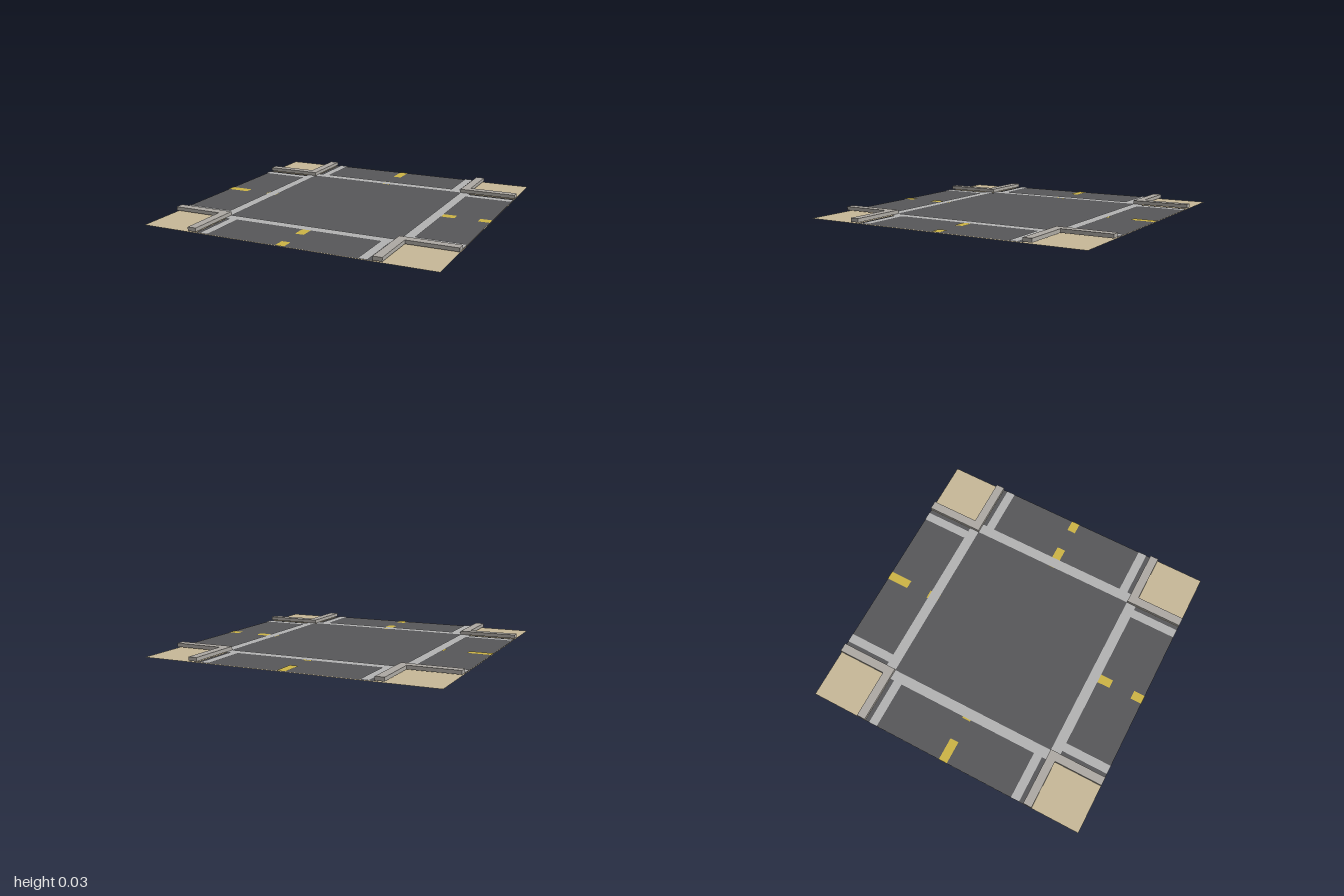
import * as THREE from 'three';

const mat = (color) => new THREE.MeshStandardMaterial({ color, side: THREE.DoubleSide });

export function createModel() {
  const model = new THREE.Group();
  model.name = 'crossroads';
  const soil = mat(0xc8b998), asphalt = mat(0x58585a), white = mat(0xb4b4b4);
  const yellow = mat(0xceb545), stone = mat(0xaeaaa4);

  // Flat rectangle lying at height y, between two corners
  function slab(name, material, x0, x1, z0, z1, y, parent = model) {
    const geo = new THREE.PlaneGeometry(x1 - x0, z1 - z0).rotateX(-Math.PI / 2);
    const mesh = new THREE.Mesh(geo, material);
    mesh.name = name;
    mesh.position.set((x0 + x1) / 2, y, (z0 + z1) / 2);
    parent.add(mesh);
    return mesh;
  }

  // Ground and the junction square
  slab('ground', soil, -1, 1, -1, 1, 0);
  slab('junction', asphalt, -0.6, 0.6, -0.6, 0.6, 0.004);

  // Four road arms with edge lines and a stop line
  for (let i = 0; i < 4; i++) {
    const arm = new THREE.Group();
    arm.name = 'roadArm';
    arm.rotation.y = i * Math.PI / 2;
    slab('roadSurface', asphalt, -0.6, 0.6, 0.6, 1, 0.004, arm);
    slab('stopLine', white, -0.6, 0.6, 0.6, 0.67, 0.008, arm);
    for (const s of [-1, 1]) {
      slab('edgeLine', white, s * 0.54 - 0.03, s * 0.54 + 0.03, 0.67, 1, 0.008, arm);
    }
    model.add(arm);
  }

  // Yellow centre dashes, evenly spaced along both roads outside the junction
  for (let start = -1; start < 1; start += 0.32) {
    const end = Math.min(start + 0.16, 1);
    const spans = start < 0 ? [start, Math.min(end, -0.6)] : [Math.max(start, 0.6), end];
    if (spans[1] - spans[0] < 0.01) continue;
    slab('centreDash', yellow, -0.03, 0.03, spans[0], spans[1], 0.006);
    slab('centreDash', yellow, spans[0], spans[1], -0.03, 0.03, 0.006);
  }

  // L-shaped raised kerb on each corner
  const outline = [[0.6, 0.6], [1, 0.6], [1, 0.66], [0.66, 0.66], [0.66, 1], [0.6, 1]];
  const shape = new THREE.Shape(outline.map(([x, z]) => new THREE.Vector2(x, z)));
  const kerbGeo = new THREE.ExtrudeGeometry(shape, { depth: 0.025, bevelEnabled: false });
  kerbGeo.rotateX(-Math.PI / 2).translate(0, 0.008, 0);
  for (let i = 0; i < 4; i++) {
    const kerb = new THREE.Mesh(kerbGeo, stone);
    kerb.name = 'kerb';
    kerb.rotation.y = i * Math.PI / 2;
    model.add(kerb);
  }
  return model;
}
